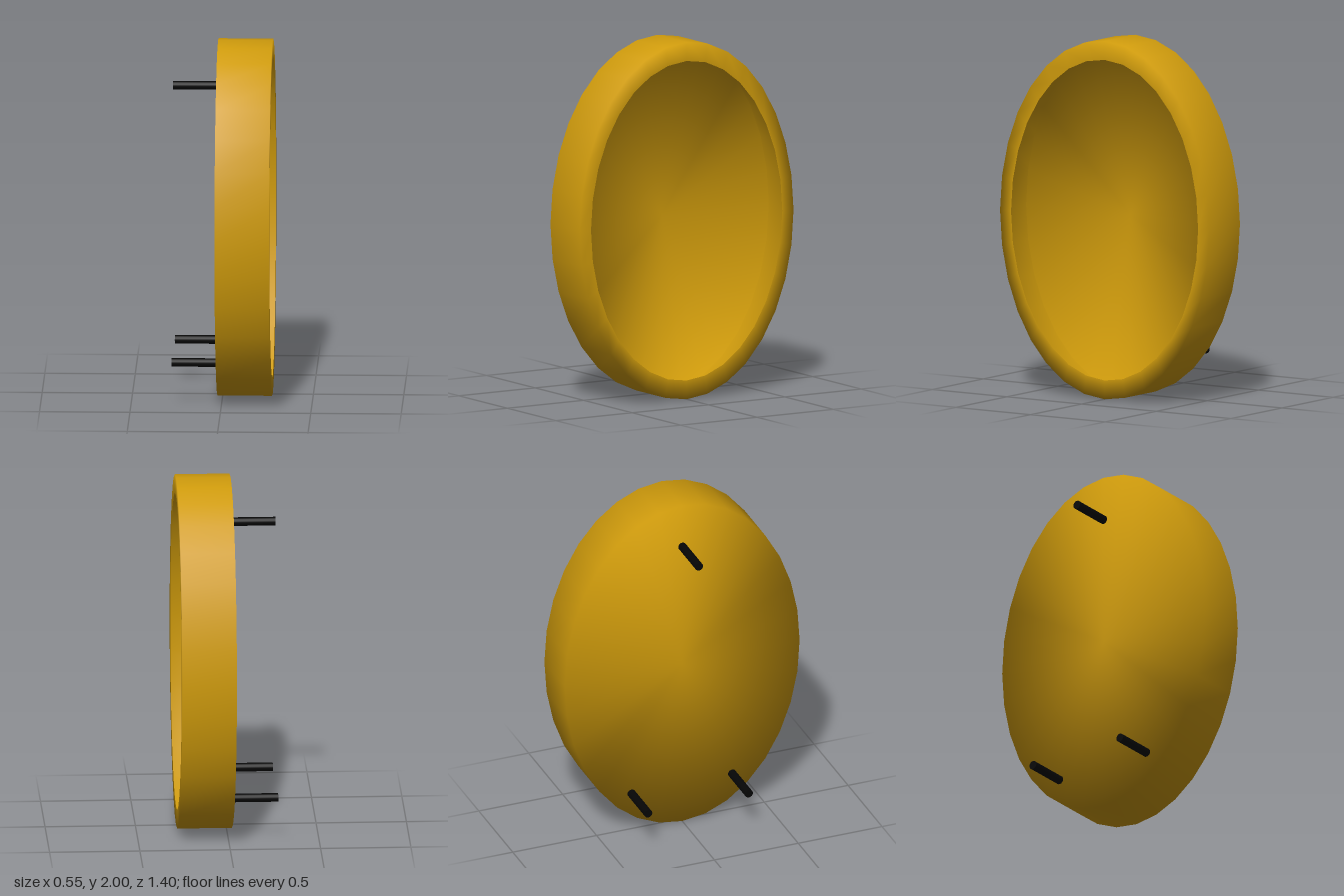
import * as THREE from 'three';

const BACK = -0.027, FLOOR = 0.02, FRONT = 0.275, END = -0.275, DEPTH = 0.7;

// Rings are [radius, position along x, axial share of the normal, radial share of the normal]
const CASE_RINGS = [
  [0, BACK, -0.11, 0],       // centre of the back
  [1, BACK, -0.11, 1],       // back edge
  [1, FRONT, 0.3, 1],        // front edge
  [0.895, FRONT, 1, 0],      // inner edge of the flat lip
];
const FLOOR_RINGS = [
  [1, FLOOR, 0.1, -1],       // where the floor meets the wall
  [0, FLOOR, 0.1, 0],        // centre of the floor
];

// Oval lathe around the x axis, softly shaded over its edges
function ovalLathe(rings) {
  const segments = 32;
  const profile = rings.map(([radius, x]) => new THREE.Vector2(radius, x));
  const geometry = new THREE.LatheGeometry(profile, segments);
  geometry.rotateZ(-Math.PI / 2).scale(1, 1, DEPTH);

  const normal = geometry.attributes.normal;
  for (let i = 0; i < normal.count; i++) {
    const angle = Math.floor(i / rings.length) / segments * Math.PI * 2;
    const [, , axial, radial] = rings[i % rings.length];
    const y = -Math.sin(angle), z = Math.cos(angle) / DEPTH;
    const k = radial / Math.hypot(y, z);
    normal.setXYZ(i, axial, y * k, z * k);
  }
  return geometry;
}

export function createModel() {
  const model = new THREE.Group();
  model.name = 'ovalPan';
  const gold = new THREE.MeshStandardMaterial({ color: 0xcf9b0c, side: THREE.DoubleSide });
  const black = new THREE.MeshStandardMaterial({ color: 0x060606 });

  const add = (name, geometry, material, x, y, z) => {
    const mesh = new THREE.Mesh(geometry, material);
    mesh.name = name;
    mesh.position.set(x, y, z);
    model.add(mesh);
  };

  // Case with back, wall and turned-in lip, and the raised floor inside it
  add('case', ovalLathe(CASE_RINGS), gold, 0, 1, 0);
  add('floor', ovalLathe(FLOOR_RINGS), gold, 0, 1, 0);

  // Three pins standing out of the back
  const pin = new THREE.CylinderGeometry(0.024, 0.024, BACK - END, 16).rotateZ(Math.PI / 2);
  const pinX = (BACK + END) / 2;
  add('topPin', pin, black, pinX, 1.743, 0);
  add('lowerFrontPin', pin, black, pinX, 0.24, 0.297);
  add('lowerBackPin', pin, black, pinX, 0.24, -0.303);
  return model;
}
